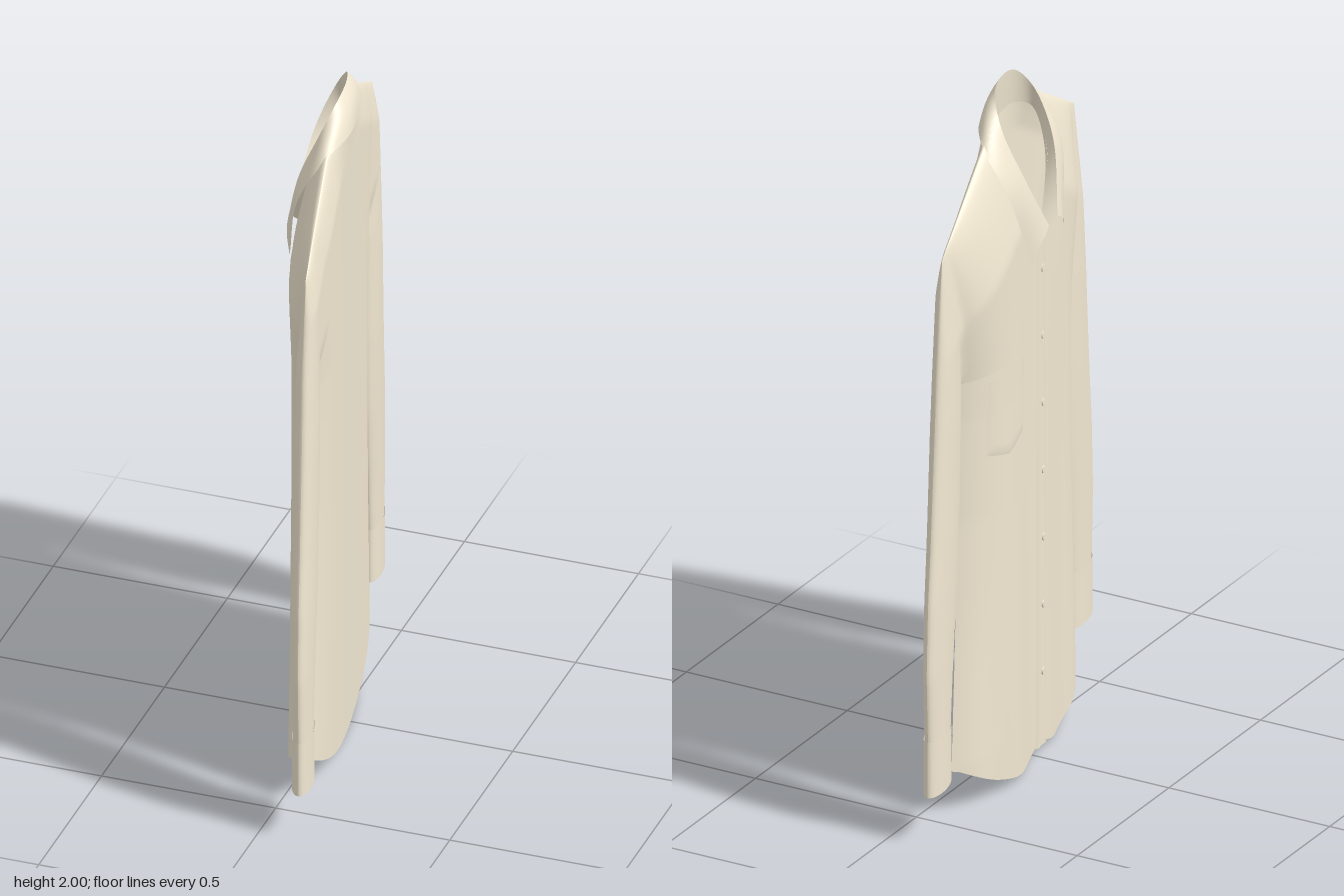
import * as THREE from 'three';

const cloth = new THREE.MeshStandardMaterial({ color: 0xf2e8d2, side: THREE.DoubleSide });

// piecewise interpolation through [key, value] pairs with ascending keys
function interp(pts, k) {
  if (k <= pts[0][0]) return pts[0][1];
  for (let i = 1; i < pts.length; i++) {
    const [a, va] = pts[i - 1], [b, vb] = pts[i];
    if (k <= b) return va + (vb - va) * (k - a) / (b - a);
  }
  return pts[pts.length - 1][1];
}

// surface from a rule f(u, v) -> [x, y, z], u and v in 0..1
function sheet(name, nu, nv, f) {
  const pos = [], idx = [];
  for (let j = 0; j <= nv; j++) for (let i = 0; i <= nu; i++) pos.push(...f(i / nu, j / nv));
  for (let j = 0; j < nv; j++) for (let i = 0; i < nu; i++) {
    const a = j * (nu + 1) + i, b = a + 1, c = a + nu + 1, d = c + 1;
    idx.push(a, b, d, a, d, c);
  }
  const g = new THREE.BufferGeometry();
  g.setAttribute('position', new THREE.Float32BufferAttribute(pos, 3));
  g.setIndex(idx);
  g.computeVertexNormals();
  const m = new THREE.Mesh(g, cloth);
  m.name = name;
  return m;
}

// outlines: torso, sleeves, shoulder line, neckline and hems
const ARMPIT = 1.27, SHOULDER = 0.537, HEM = 0.46;
const torsoWidth = y => interp([[0.14, 0.46], [0.5, 0.432], [0.85, 0.414], [1.15, 0.416], [ARMPIT, 0.424], [1.45, 0.475], [1.69, SHOULDER]], y);
const sleeveInner = y => interp([[0.3, 0.496], [0.45, 0.48], [0.7, 0.446], [0.95, 0.426], [ARMPIT, 0.42], [1.69, 0.44]], y);
const sleeveOuter = y => interp([[0.3, 0.652], [0.5, 0.663], [0.7, 0.652], [0.85, 0.633], [1.1, 0.607], [1.35, 0.582], [1.69, SHOULDER]], y);
const sleeveDepth = y => interp([[0.3, 0.026], [0.7, 0.03], [1.2, 0.032], [1.69, 0.026]], y);
const shoulder = x => interp([[0, 1.915], [0.12, 1.908], [0.19, 1.885], [0.36, 1.79], [SHOULDER, 1.69]], Math.abs(x));
const neckline = x => Math.min(shoulder(x), interp([[0, 1.55], [0.06, 1.6], [0.15, 1.8], [0.19, 1.885]], Math.abs(x)));
const hemBack = x => 0.14 * (x / HEM) ** 2;
const hemFront = x => 0.14 * Math.abs(x / HEM) ** 2.3 + 0.035 * Math.exp(-((x / 0.08) ** 2));

// thickness of the sleeve head where it runs into the torso above the armpit
function sleeveHead(x, y) {
  const a = sleeveInner(y), b = sleeveOuter(y);
  const s = (Math.abs(x) - (a + b) / 2) / ((b - a) / 2);
  const round = Math.sqrt(Math.max(0, 1 - s * s));
  const fill = THREE.MathUtils.smoothstep(y, ARMPIT, 1.45) * (s < 0 ? 1 : round);
  return sleeveDepth(y) * Math.max(round, fill);
}
const torsoU = (x, y) => Math.min(1, Math.abs(x) / torsoWidth(y));
const rise = (x, y, h, p) => Math.min(1, Math.max(0, (shoulder(x) - y) / h)) ** p;

// depth of the front and back cloth, with soft vertical folds in front
function frontDepth(x, y, head) {
  const fold = 0.005 * Math.sin(x * 26 + y * 1.5) * Math.max(0, 1 - y / 1.4);
  const chest = (0.093 + fold) * (1 - torsoU(x, y) ** 5);
  return Math.max(chest, head) * rise(x, y, 0.28, 0.6);
}
function backDepth(x, y, head) {
  const body = -Math.max(0.034 * (1 - torsoU(x, y) ** 5), head);
  const neck = -0.04 * Math.max(0, 1 - (x / 0.2) ** 2);
  return neck + (body - neck) * rise(x, y, 0.12, 0.55);
}

// a panel is a lower part between the arms and a yoke that spans the sleeve heads
function panel(name, dir, hem, top, depth) {
  const g = new THREE.Group();
  g.name = name;
  const across = t => dir * Math.sin((t - 0.5) * Math.PI);
  g.add(sheet('body', 90, 50, (t, v) => {
    const u = across(t), low = hem(u * HEM);
    const x = u * torsoWidth(0.14 + v * (ARMPIT - 0.14)), y = low + v * (ARMPIT - low);
    return [x, y, depth(x, y, 0)];
  }));
  g.add(sheet('yoke', 120, 36, (t, v) => {
    const u = across(t), s = v * (2 - v);
    const x = u * sleeveOuter(ARMPIT + s * (1.69 - ARMPIT));
    const y = ARMPIT + s * (top(u * SHOULDER) - ARMPIT);
    return [x, y, depth(x, y, sleeveHead(x, y))];
  }));
  return g;
}

function sleeve(side) {
  const g = new THREE.Group();
  g.name = side > 0 ? 'leftSleeve' : 'rightSleeve';
  const ring = (u, a, b, d, y) => {
    const t = u * Math.PI * 2;
    return [side * ((a + b) / 2 + (b - a) / 2 * Math.cos(t)), y, side * d * Math.sin(t)];
  };
  g.add(sheet('sleeveTube', 48, 40, (u, v) => {
    const y = 0.3 + (ARMPIT - 0.3) * v;
    return ring(u, sleeveInner(y), sleeveOuter(y), sleeveDepth(y), y);
  }));
  g.add(sheet('cuff', 48, 3, (u, v) => ring(u, 0.494, 0.654, 0.028, 0.14 + 0.165 * v)));
  return g;
}

// mirrored smooth curve: half the points run from the back centre to the front
function neckCurve(half) {
  const right = half.slice(1).reverse().map(([x, y, z]) => [-x, y, z]);
  return new THREE.CatmullRomCurve3([...right, ...half].map(p => new THREE.Vector3(...p)));
}

export function createModel() {
  const model = new THREE.Group();
  model.name = 'shirt';
  const shirt = new THREE.Group();
  shirt.name = 'garment';

  // torso with the sleeve heads
  shirt.add(panel('frontPanel', 1, hemFront, neckline, frontDepth));
  shirt.add(panel('backPanel', -1, hemBack, shoulder, backDepth));

  // button placket and buttons
  shirt.add(sheet('placket', 6, 50, (u, v) => {
    const x = -0.03 + 0.06 * u, lo = hemFront(x) - 0.005;
    const y = lo + v * (neckline(x) - lo);
    return [x, y, frontDepth(x, y, 0) + (u === 0 || u === 1 ? 0 : 0.006)];
  }));
  const buttonShape = new THREE.CylinderGeometry(0.011, 0.011, 0.005, 16).rotateX(Math.PI / 2);
  for (let i = 0; i < 7; i++) {
    const b = new THREE.Mesh(buttonShape, cloth);
    const y = 0.25 + i * 0.2;
    b.name = 'button';
    b.position.set(0, y, frontDepth(0, y, 0) + 0.007);
    shirt.add(b);
  }

  // chest pocket
  shirt.add(sheet('pocket', 14, 14, (u, v) => {
    const x = -0.34 + 0.2 * u;
    const low = 1.0 + 0.03 * Math.abs(u * 2 - 1);
    const y = low + v * (1.25 - low);
    return [x, y, frontDepth(x, y, 0) + (u === 0 || u === 1 || v === 0 ? 0.001 : 0.004)];
  }));

  // sleeves with cuffs
  shirt.add(sleeve(1), sleeve(-1));

  // collar: inner stand, fold line and turned-down fall
  const stand = neckCurve([[0, 1.88, -0.03], [0.1, 1.88, -0.02], [0.155, 1.85, 0.015], [0.13, 1.74, 0.06], [0.005, 1.55, 0.09]]);
  const fold = neckCurve([[0, 2.0, -0.02], [0.085, 1.985, -0.008], [0.137, 1.91, 0.03], [0.125, 1.78, 0.085], [0.035, 1.595, 0.13]]);
  const fall = neckCurve([[0, 1.9, -0.053], [0.11, 1.898, -0.045], [0.205, 1.872, 0.003], [0.212, 1.75, 0.075], [0.13, 1.525, 0.112]]);
  const loft = (a, b, bulge) => (u, v) => {
    const p = a.getPoint(u).lerp(b.getPoint(u), v);
    const k = bulge * Math.sin(Math.PI * v);
    const out = new THREE.Vector3(p.x, 0, p.z - 0.03).normalize();
    return [p.x + out.x * k, p.y + k * 0.5, p.z + out.z * k];
  };
  const collar = new THREE.Group();
  collar.name = 'collar';
  collar.add(sheet('collarStand', 64, 6, loft(stand, fold, 0)));
  collar.add(sheet('collarFall', 64, 8, loft(fold, fall, 0.008)));
  shirt.add(collar);

  // the garment hangs turned almost a quarter round
  shirt.rotation.y = -(Math.PI / 2 - 0.18);
  model.add(shirt);
  return model;
}
